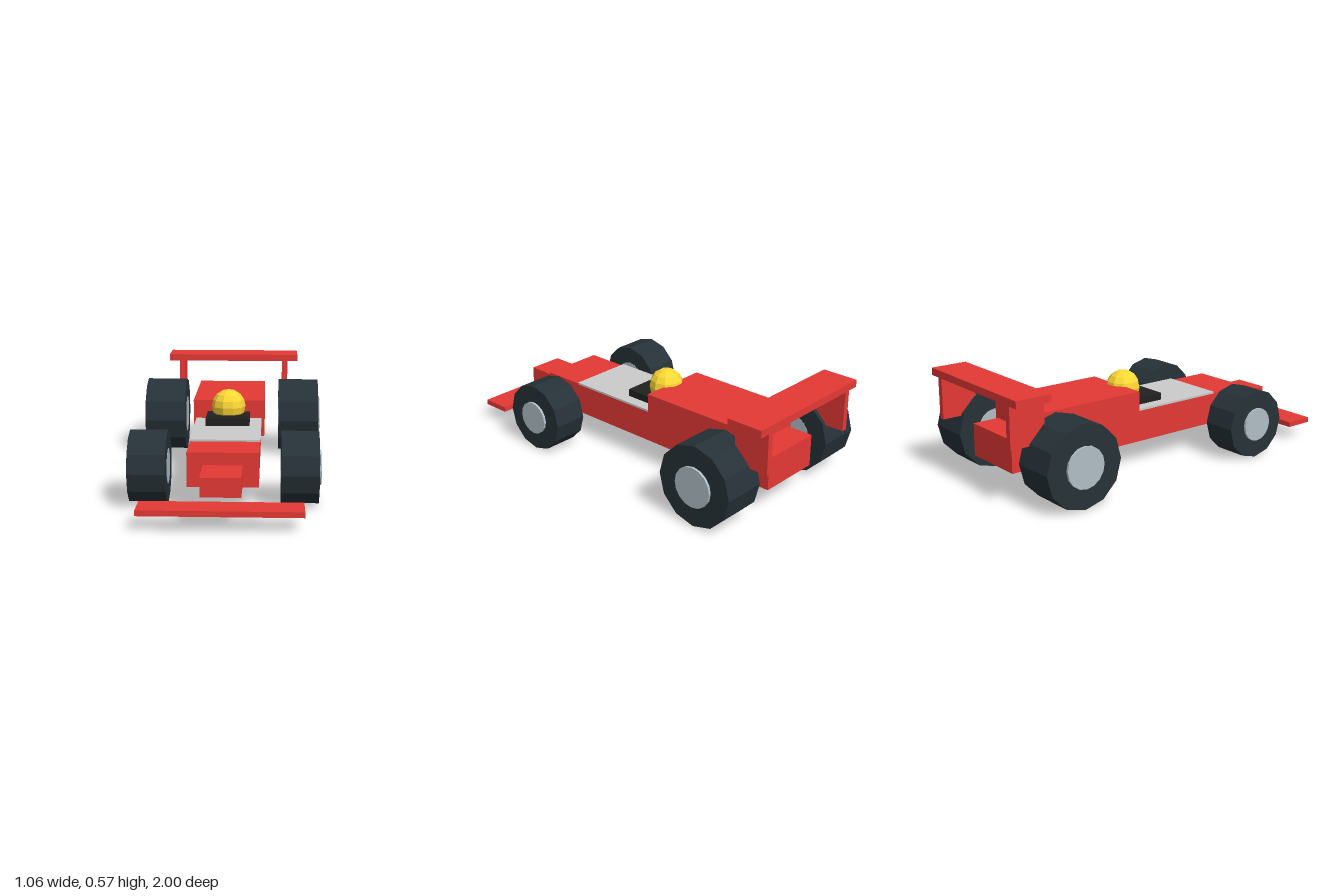
import * as THREE from 'three';

const paint = (color) => new THREE.MeshStandardMaterial({ color, flatShading: true });

export function createModel() {
  const car = new THREE.Group();
  car.name = 'raceCar';
  const red = paint(0xe53935);
  const rubber = paint(0x263238);
  const metal = paint(0xb0bec5);
  const grey = paint(0xcccccc);
  const black = paint(0x212121);
  const yellow = paint(0xfdd835);

  function add(name, geometry, material, x, y, z) {
    const mesh = new THREE.Mesh(geometry, material);
    mesh.name = name;
    mesh.position.set(x, y, z);
    car.add(mesh);
    return mesh;
  }

  // Box given by its minimum and maximum on each axis
  function block(name, material, [x0, x1], [y0, y1], [z0, z1]) {
    return add(name, new THREE.BoxGeometry(x1 - x0, y1 - y0, z1 - z0), material,
      (x0 + x1) / 2, (y0 + y1) / 2, (z0 + z1) / 2);
  }

  // Cylinder lying along x between two x positions
  function disc(name, material, radius, sides, xa, xb, y, z) {
    const geometry = new THREE.CylinderGeometry(radius, radius, Math.abs(xb - xa), sides);
    geometry.rotateZ(Math.PI / 2);
    return add(name, geometry, material, (xa + xb) / 2, y, z);
  }

  // Body
  block('chassis', red, [-0.177, 0.177], [0.132, 0.305], [-0.896, 0.68]);
  block('nose', red, [-0.098, 0.098], [0.147, 0.242], [0.6, 0.919]);
  block('engineCover', red, [-0.197, 0.197], [0.212, 0.415], [-0.75, -0.11]);
  block('cockpitPanel', grey, [-0.182, 0.182], [0.303, 0.314], [-0.11, 0.438]);
  block('cockpitRim', black, [-0.118, 0.118], [0.31, 0.353], [-0.13, 0.105]);

  // Driver
  add('helmet', new THREE.SphereGeometry(0.093, 10, 8), yellow, 0, 0.393, -0.065);

  // Wings
  block('frontWing', red, [-0.394, 0.394], [0.077, 0.105], [0.842, 1]);
  block('rearWing', red, [-0.394, 0.394], [0.532, 0.571], [-1, -0.803]);

  for (const side of [1, -1]) {
    const label = side > 0 ? 'left' : 'right';
    const strut = block(label + 'RearWingStrut', red, [0.301, 0.333], [0.315, 0.534], [-0.999, -0.804]);
    strut.position.x *= side;

    // Wheels: tyre with a hub running through it
    disc(label + 'FrontTyre', rubber, 0.187, 12, side * 0.285, side * 0.475, 0.187, 0.482);
    disc(label + 'FrontHub', metal, 0.091, 16, side * 0.284, side * 0.488, 0.187, 0.482);
    disc(label + 'RearTyre', rubber, 0.218, 12, side * 0.279, side * 0.515, 0.218, -0.703);
    disc(label + 'RearHub', metal, 0.108, 16, side * 0.278, side * 0.528, 0.218, -0.703);
  }
  return car;
}
